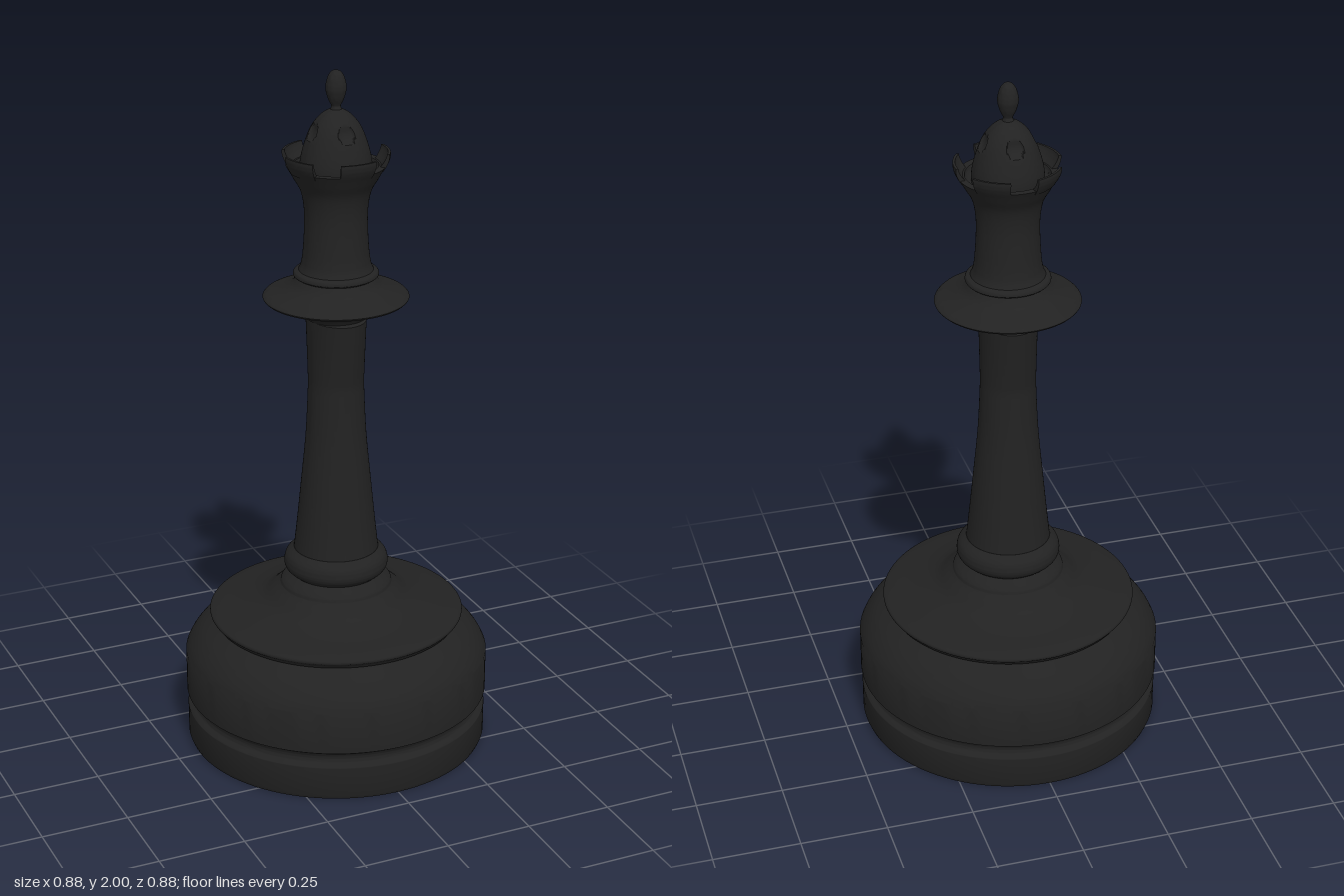
import * as THREE from 'three';
import { toCreasedNormals } from 'three/addons/utils/BufferGeometryUtils.js';

const material = new THREE.MeshStandardMaterial({ color: 0x222222 });

// Joins runs of [radius, height]; each run is a smooth curve, runs meet at a sharp edge.
function profile(runs, steps = 5) {
  const points = [];
  for (const run of runs) {
    const knots = run.map(([r, y]) => new THREE.Vector2(r, y));
    const curve = knots.length > 2 ? new THREE.SplineCurve(knots) : null;
    const samples = curve ? curve.getPoints((knots.length - 1) * steps) : knots;
    for (const p of samples) {
      p.x = Math.max(p.x, 0);
      if (!points.length || points[points.length - 1].distanceTo(p) > 1e-5) points.push(p);
    }
  }
  return points;
}

function turned(name, runs, { segments = 64, reshape } = {}) {
  const geometry = new THREE.LatheGeometry(profile(runs), segments);
  if (reshape) reshapeVertices(geometry, reshape);
  const mesh = new THREE.Mesh(toCreasedNormals(geometry, 0.6), material);
  mesh.name = name;
  return mesh;
}

function reshapeVertices(geometry, rule) {
  const position = geometry.attributes.position;
  const v = new THREE.Vector3();
  for (let i = 0; i < position.count; i++) {
    rule(v.fromBufferAttribute(position, i));
    position.setXYZ(i, v.x, v.y, v.z);
  }
}

// Crown petal: a slab bent round the axis, curling outward and thinning to its tip
function crownPetal(angle) {
  const geometry = new THREE.BoxGeometry(1, 1, 1, 12, 8, 1);
  reshapeVertices(geometry, (v) => {
    const t = v.y + 0.5;
    const phi = angle + v.x * THREE.MathUtils.degToRad(42);
    const r = 0.122 + 0.024 * Math.sin(t * Math.PI / 2) + v.z * (0.02 - 0.013 * t);
    v.set(r * Math.sin(phi), 1.722 + 0.05 * t, r * Math.cos(phi));
  });
  const mesh = new THREE.Mesh(toCreasedNormals(geometry, 0.7), material);
  mesh.name = 'crownPetal';
  return mesh;
}

export function createModel() {
  const group = new THREE.Group();
  group.name = 'chessQueen';

  // Heavy foot with a groove and a rounded shoulder
  group.add(turned('base', [
    [[0, 0], [0.432, 0]],
    [[0.432, 0], [0.437, 0.012]],
    [[0.437, 0.012], [0.437, 0.09]],
    [[0.437, 0.09], [0.436, 0.1], [0.422, 0.112], [0.42, 0.125], [0.425, 0.138], [0.44, 0.148]],
    [[0.44, 0.148], [0.44, 0.27]],
    [[0.44, 0.27], [0.425, 0.3], [0.395, 0.335], [0.345, 0.37]],
    [[0.345, 0.37], [0, 0.375]],
  ], { segments: 96 }));

  // Thin flange sweeping up to the neck of the column
  group.add(turned('flange', [
    [[0.3, 0.37], [0.355, 0.374]],
    [[0.355, 0.374], [0.358, 0.382]],
    [[0.358, 0.382], [0.367, 0.39], [0.364, 0.4], [0.335, 0.408]],
    [[0.335, 0.408], [0.27, 0.42], [0.215, 0.438], [0.18, 0.465], [0.162, 0.48]],
    [[0.162, 0.48], [0.155, 0.494], [0.125, 0.516]],
    [[0.125, 0.516], [0, 0.516]],
  ], { segments: 96 }));

  group.add(turned('columnBead', [
    [[0, 0.512], [0.125, 0.512]],
    [[0.125, 0.512], [0.145, 0.53], [0.15, 0.55], [0.143, 0.573], [0.122, 0.592]],
    [[0.122, 0.592], [0, 0.595]],
  ]));

  // Column, widening front to back near its top
  group.add(turned('column', [
    [[0.123, 0.58], [0.113, 0.67], [0.1, 0.8], [0.086, 0.95], [0.079, 1.1]],
    [[0.079, 1.1], [0.08, 1.2], [0.081, 1.295]],
    [[0.081, 1.295], [0, 1.305]],
  ], { reshape: (v) => { v.z *= 1 + 0.31 * Math.max(0, (v.y - 1.1) / 0.195); } }));

  // Wide knife-edged collar with a small ring above
  group.add(turned('collar', [
    [[0, 1.295], [0.085, 1.295]],
    [[0.085, 1.295], [0.1, 1.315], [0.13, 1.332], [0.2, 1.35]],
    [[0.2, 1.35], [0.205, 1.356], [0.2, 1.362]],
    [[0.2, 1.362], [0.155, 1.377], [0.125, 1.393], [0.108, 1.413]],
    [[0.108, 1.413], [0.119, 1.42], [0.117, 1.43], [0.103, 1.436]],
    [[0.103, 1.436], [0, 1.44]],
  ]));

  // Flared head with a shallow cup at the top
  group.add(turned('head', [
    [[0.106, 1.432], [0.096, 1.46], [0.09, 1.52], [0.088, 1.6], [0.097, 1.66], [0.118, 1.7], [0.132, 1.725]],
    [[0.132, 1.725], [0.138, 1.735]],
    [[0.138, 1.735], [0.118, 1.735]],
    [[0.118, 1.735], [0.1, 1.715], [0, 1.715]],
  ]));

  const crown = new THREE.Group();
  crown.name = 'crown';
  for (let i = 0; i < 5; i++) crown.add(crownPetal(THREE.MathUtils.degToRad(2 + 72 * i)));
  group.add(crown);

  // Dome with four round dimples
  const dimples = [0, 1, 2, 3].map((i) => new THREE.Vector3(
    0.071 * Math.sin(i * Math.PI / 2), 1.835, 0.071 * Math.cos(i * Math.PI / 2)));
  group.add(turned('dome', [
    [[0.099, 1.71], [0.099, 1.745], [0.089, 1.79], [0.07, 1.84], [0.045, 1.873], [0.02, 1.89], [0, 1.894]],
  ], {
    segments: 128,
    reshape: (v) => {
      for (const centre of dimples) {
        const d = v.distanceTo(centre) / 0.024;
        if (d < 1) {
          const push = 0.012 * Math.sqrt(1 - d * d);
          const inward = new THREE.Vector3(0, 1.79, 0).sub(centre).normalize();
          v.addScaledVector(inward, push);
        }
      }
    },
  }));

  group.add(turned('finial', [
    [[0.02, 1.885], [0.013, 1.9], [0.022, 1.92], [0.029, 1.95], [0.023, 1.98], [0.012, 1.996], [0, 2]],
  ], { segments: 32 }));

  return group;
}
